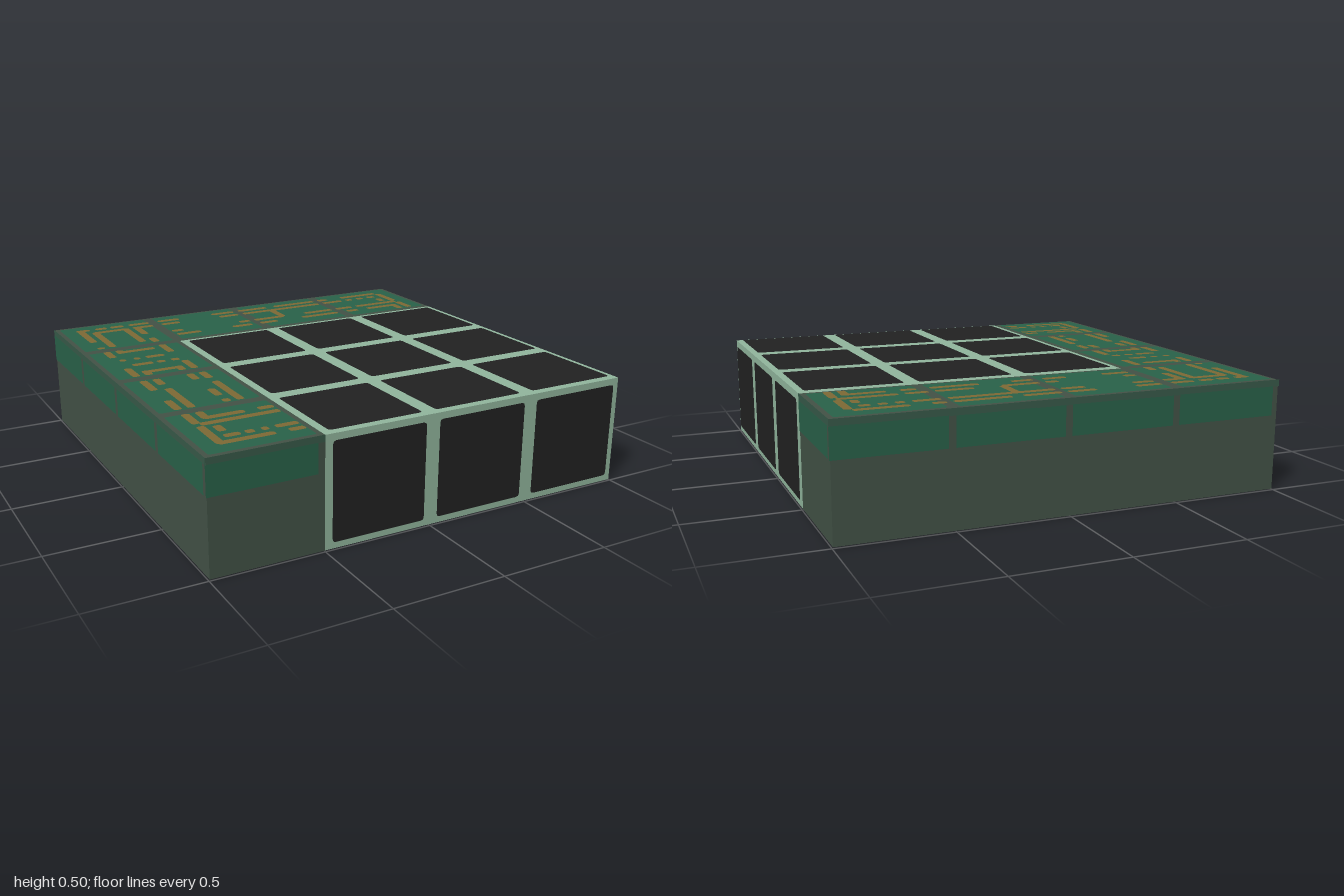
import * as THREE from 'three';

const flat = (name, color) => Object.assign(new THREE.MeshStandardMaterial({ color }), { name });

const E = 0.004; // the body is inset so that the surface plates end at the full size

// Flat rounded rectangle facing +z
function plateGeometry(w, h, r) {
  const s = new THREE.Shape(), x = w / 2, y = h / 2;
  s.moveTo(-x + r, -y);
  s.lineTo(x - r, -y).quadraticCurveTo(x, -y, x, -y + r);
  s.lineTo(x, y - r).quadraticCurveTo(x, y, x - r, y);
  s.lineTo(-x + r, y).quadraticCurveTo(-x, y, -x, y - r);
  s.lineTo(-x, -y + r).quadraticCurveTo(-x, -y, -x + r, -y);
  return new THREE.ShapeGeometry(s, 2);
}

// Turns a plate to look out of one side of the slab
const TURN = {
  front: [0, 0, 0], back: [0, Math.PI, 0],
  right: [0, Math.PI / 2, 0], left: [0, -Math.PI / 2, 0],
  top: [-Math.PI / 2, 0, 0], bottom: [Math.PI / 2, 0, 0],
};

// Trace segments: [fixed coordinate, start, end, start, end, ...]
const BACK_ROWS = [ // fixed z, runs along x
  [-0.895, -0.91, -0.84, -0.81, -0.75, -0.73, -0.66, -0.63, -0.52, -0.47, -0.35, -0.16, -0.03, 0, 0.17, 0.22, 0.47, 0.5, 0.56, 0.65, 0.88],
  [-0.83, -0.84, -0.66, -0.63, -0.52, -0.47, -0.37, -0.14, -0.03, 0, 0.47, 0.5, 0.62, 0.65, 0.69, 0.72, 0.76, 0.79, 0.84],
  [-0.68, -0.47, -0.41, -0.09, -0.03, 0, 0.17, 0.3, 0.47, 0.5, 0.6, 0.63, 0.89],
  [-0.61, -0.47, -0.34, -0.16, -0.05, 0, 0.1, 0.25, 0.47, 0.53, 0.6, 0.66, 0.85],
];
const LEFT_ROWS = [
  [-0.43, -0.84, -0.66], [-0.3, -0.88, -0.85, -0.81, -0.78, -0.75, -0.66],
  [-0.205, -0.85, -0.75, -0.73, -0.69, -0.66, -0.62], [-0.08, -0.84, -0.66],
  [0.61, -0.84, -0.66, -0.6, -0.53], [0.67, -0.88, -0.53],
  [0.83, -0.85, -0.78, -0.76, -0.72, -0.69, -0.66, -0.63, -0.53],
  [0.89, -0.9, -0.66, -0.6, -0.53],
];
const COLUMNS = [ // fixed x, runs along z
  [-0.89, -0.91, -0.66, -0.56, -0.53, -0.47, -0.36, -0.17, -0.03, 0.04, 0.19, 0.34, 0.47, 0.53, 0.66, 0.69, 0.9],
  [-0.83, -0.84, -0.54, -0.47, -0.41, -0.1, -0.03, 0.04, 0.13, 0.19, 0.47, 0.53, 0.62, 0.71, 0.78],
  [-0.67, -0.84, -0.56, -0.1, -0.03, 0.04, 0.13, 0.28, 0.38, 0.43, 0.47],
  [-0.61, -0.82, -0.69, -0.61, -0.53, -0.47, -0.33, -0.17, -0.03, 0.04, 0.14, 0.19, 0.47],
  [0.17, -0.84, -0.68], [0.83, -0.78, -0.72, -0.61, -0.53], [0.89, -0.88, -0.7, -0.66, -0.53],
];

export function createModel() {
  const model = new THREE.Group();
  model.name = 'circuitSlab';
  const casing = flat('casing', 0x435347);
  const board = flat('boardGreen', 0x29634a);
  const edge = flat('boardEdge', 0x385b4a);
  const frame = flat('paleFrame', 0x93b89f);
  const panel = flat('darkPanel', 0x222222);
  const copper = flat('copperTrace', 0x7f6a35);

  function box(name, mat, x0, x1, z0, z1) {
    const h = 0.5 - 2 * E;
    const m = new THREE.Mesh(new THREE.BoxGeometry(x1 - x0, h, z1 - z0), mat);
    m.position.set((x0 + x1) / 2, 0.25, (z0 + z1) / 2);
    m.name = name;
    model.add(m);
  }
  function plate(name, mat, side, w, h, r, x, y, z) {
    const m = new THREE.Mesh(plateGeometry(w, h, r), mat);
    m.rotation.set(...TURN[side]);
    m.position.set(x, y, z);
    m.name = name;
    model.add(m);
  }

  // L-shaped casing around a pale core
  const o = 1 - E;
  box('backCasing', casing, -o, o, -o, -0.5);
  box('sideCasing', casing, -o, -0.5, -0.5, o);
  box('core', frame, -0.5, o, -0.5, o);

  // Dark panels on the core: three on each open side, nine above and below
  const size = 0.435, r = 0.015, centres = [-0.25, 0.25, 0.75];
  for (const a of centres) {
    plate('frontPanel', panel, 'front', size, size, r, a, 0.25, 1);
    plate('sidePanel', panel, 'right', size, size, r, 1, 0.25, a);
    for (const b of centres) {
      plate('topPanel', panel, 'top', size, size, r, a, 0.5, b);
      plate('bottomPanel', panel, 'bottom', size, size, r, a, 0, b);
    }
  }

  // Green board tiles on top of the casing
  const tiles = [-0.75, -0.25, 0.25, 0.75];
  for (const a of tiles) {
    plate('boardTile', board, 'top', 0.45, 0.45, 0.01, a, 0.498, -0.75);
    if (a > -0.75) plate('boardTile', board, 'top', 0.45, 0.45, 0.01, -0.75, 0.498, a);
  }

  // Green bands along the upper sides; each leaves a gap on its right end
  function band(side, x, z, dx, dz) {
    plate('boardBand', board, side, 0.47, 0.13, 0.001, x + dx, 0.405, z + dz);
    plate('boardRim', edge, side, 0.5, 0.03, 0.001, x, 0.483, z);
  }
  band('front', -0.75, 0.998, -0.015, 0);
  band('right', 0.998, -0.75, 0, 0.015);
  for (const a of tiles) {
    band('back', a, -0.998, 0.015, 0);
    band('left', -0.998, a, 0, -0.015);
  }

  // Copper traces
  const t = 0.036;
  for (const [z, ...ends] of [...BACK_ROWS, ...LEFT_ROWS])
    for (let i = 0; i < ends.length; i += 2)
      plate('trace', copper, 'top', ends[i + 1] - ends[i], t, 0.012, (ends[i] + ends[i + 1]) / 2, 0.5, z);
  for (const [x, ...ends] of COLUMNS)
    for (let i = 0; i < ends.length; i += 2)
      plate('trace', copper, 'top', t, ends[i + 1] - ends[i], 0.012, x, 0.5, (ends[i] + ends[i + 1]) / 2);

  return model;
}
